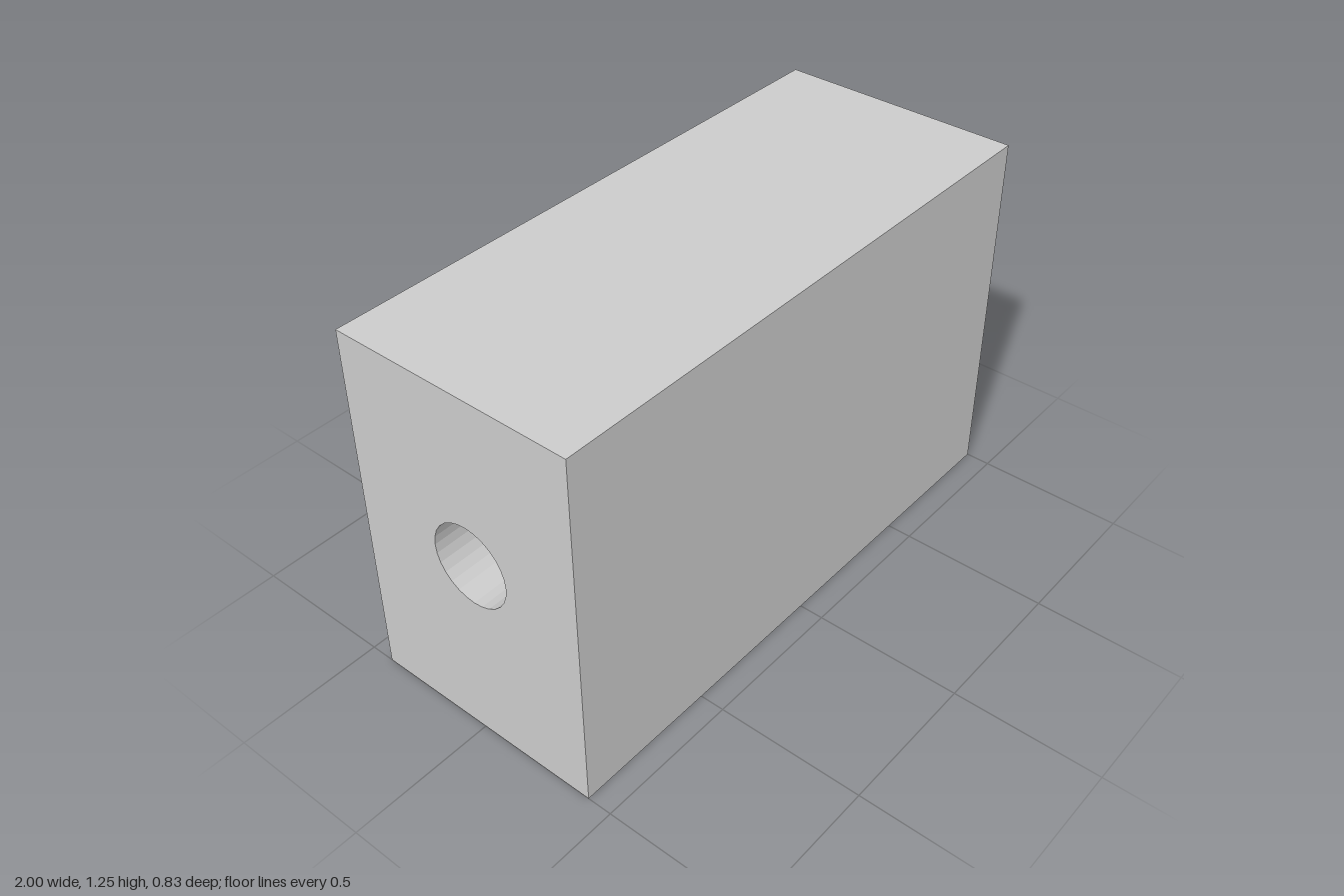
import * as THREE from 'three';

const LENGTH = 2, HEIGHT = 1.25, DEPTH = 0.834;
const BORE = { y: 0.66, z: 0.016, radius: 0.138 };

export function createModel() {
  const model = new THREE.Group();
  model.name = 'boredBlock';

  // End profile, drawn with shape x = -z
  const profile = new THREE.Shape();
  profile.moveTo(-DEPTH / 2, 0);
  profile.lineTo(DEPTH / 2, 0);
  profile.lineTo(DEPTH / 2, HEIGHT);
  profile.lineTo(-DEPTH / 2, HEIGHT);
  profile.closePath();

  // Round bore running the whole length
  const bore = new THREE.Path();
  bore.absarc(-BORE.z, BORE.y, BORE.radius, 0, Math.PI * 2, true);
  profile.holes.push(bore);

  // Extrude along the length and turn it onto the x axis
  const geometry = new THREE.ExtrudeGeometry(profile, {
    depth: LENGTH, bevelEnabled: false, curveSegments: 14,
  });
  geometry.translate(0, 0, -LENGTH / 2);
  geometry.rotateY(Math.PI / 2);

  const block = new THREE.Mesh(
    geometry,
    new THREE.MeshStandardMaterial({ color: 0xcccccc, flatShading: true }),
  );
  block.name = 'block';
  model.add(block);
  return model;
}
